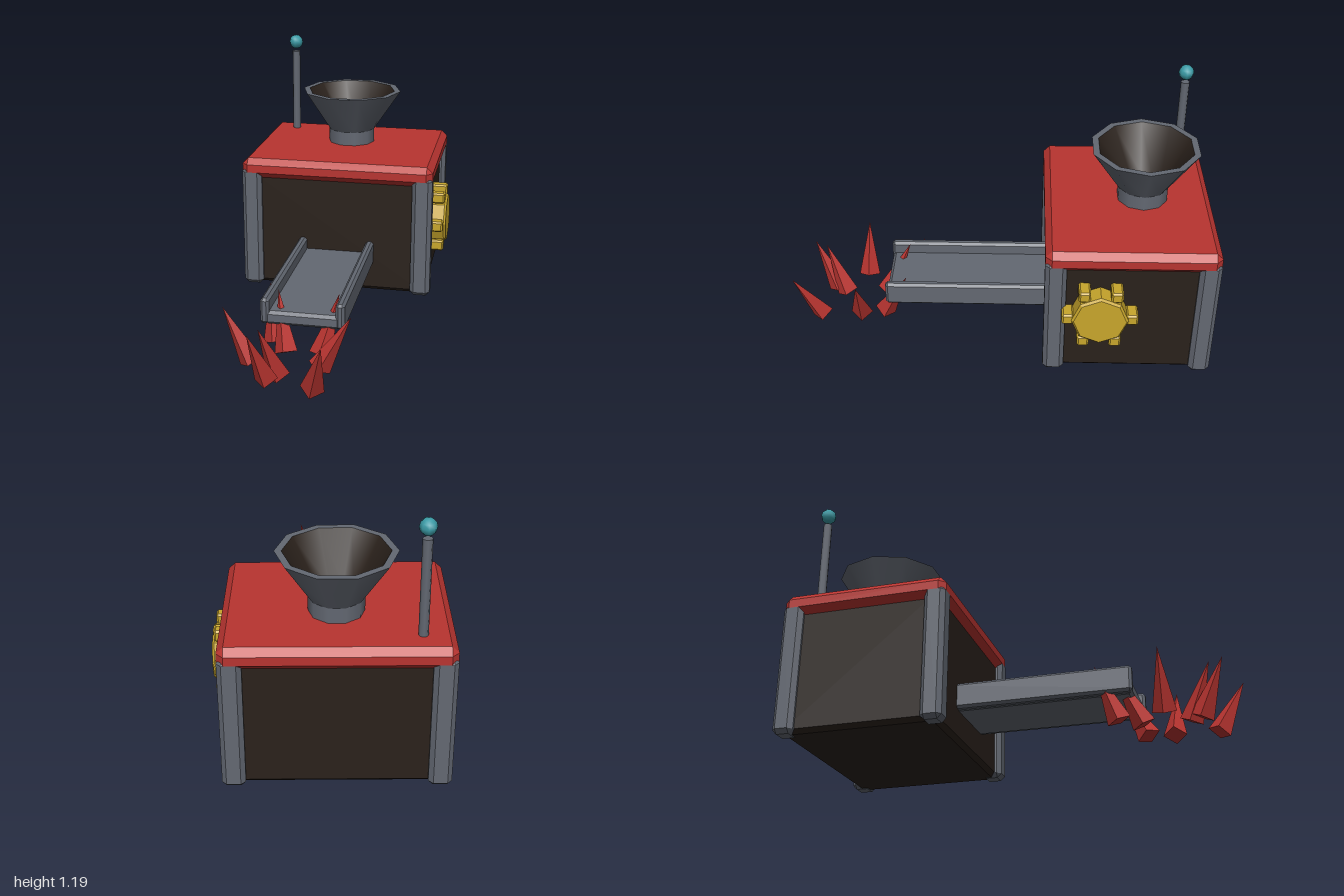
import * as THREE from 'three';
import { ConvexGeometry } from 'three/addons/geometries/ConvexGeometry.js';

const paint = (color, flat = true, side = THREE.FrontSide) =>
  new THREE.MeshStandardMaterial({ color, flatShading: flat, side });

const red = paint(0xb83430);
const steel = paint(0x636872);
const steelSmooth = paint(0x636872, false, THREE.DoubleSide);
const dark = paint(0x2a211b);
const darkSmooth = paint(0x2a211b, false, THREE.DoubleSide);
const yellow = paint(0xc8a62c);
const teal = paint(0x3b9ba6, false);

// Box between two corners, every edge cut by a chamfer c
function chamferBox(name, material, [x0, y0, z0], [x1, y1, z1], c) {
  const half = [(x1 - x0) / 2, (y1 - y0) / 2, (z1 - z0) / 2];
  const points = [];
  for (const sx of [-1, 1]) for (const sy of [-1, 1]) for (const sz of [-1, 1]) {
    for (let axis = 0; axis < 3; axis++) {
      const [x, y, z] = half.map((h, i) => (i === axis ? h : h - c));
      points.push(new THREE.Vector3(sx * x, sy * y, sz * z));
    }
  }
  const mesh = new THREE.Mesh(new ConvexGeometry(points), material);
  mesh.name = name;
  mesh.position.set((x0 + x1) / 2, (y0 + y1) / 2, (z0 + z1) / 2);
  return mesh;
}

function part(name, geometry, material, x, y, z) {
  const mesh = new THREE.Mesh(geometry, material);
  mesh.name = name;
  mesh.position.set(x, y, z);
  return mesh;
}

function createHousing() {
  const group = new THREE.Group();
  group.name = 'housing';
  group.add(chamferBox('body', dark, [-0.485, 0.003, -0.97], [0.42, 0.62, -0.245], 0.02));
  group.add(chamferBox('roof', red, [-0.515, 0.575, -1], [0.45, 0.675, -0.215], 0.03));
  for (const x of [-0.515, 0.35]) for (const z of [-1, -0.313]) {
    group.add(chamferBox('cornerPost', steel, [x, 0, z], [x + 0.1, 0.625, z + 0.098], 0.02));
  }
  return group;
}

// Ten-sided hopper with a thin rim and a dark inside
function createFunnel() {
  const group = new THREE.Group();
  group.name = 'funnel';
  const ring = (name, material, ...profile) => {
    const points = profile.map(([r, y]) => new THREE.Vector2(r, y));
    group.add(part(name, new THREE.LatheGeometry(points, 10, Math.PI / 2), material, 0, 0, 0));
  };
  ring('funnelThroat', steelSmooth, [0.12, 0.65], [0.12, 0.745]);
  ring('funnelCone', steelSmooth, [0.12, 0.745], [0.257, 0.95]);
  ring('funnelRim', steelSmooth, [0.257, 0.95], [0.226, 0.95]);
  ring('funnelInside', darkSmooth, [0.226, 0.95], [0.09, 0.74]);
  ring('funnelFloor', darkSmooth, [0.09, 0.74], [0, 0.74]);
  group.position.set(-0.032, 0, -0.675);
  return group;
}

function createAntenna() {
  const group = new THREE.Group();
  group.name = 'antenna';
  group.add(part('antennaPole', new THREE.CylinderGeometry(0.021, 0.021, 0.455, 8), steelSmooth, 0, 0.8775, 0));
  group.add(part('antennaBall', new THREE.SphereGeometry(0.037, 8, 6), teal, 0, 1.155, 0));
  group.position.set(-0.378, 0, -0.88);
  return group;
}

// Eight-sided disc with six square teeth on the left wall
function createGear() {
  const group = new THREE.Group();
  group.name = 'gear';
  const hub = part('gearDisc', new THREE.CylinderGeometry(0.13, 0.13, 0.1, 8), yellow, 0.45, 0, 0);
  const face = part('gearFace', new THREE.CylinderGeometry(0.12, 0.13, 0.01, 8), yellow, 0.505, 0, 0);
  hub.rotation.z = face.rotation.z = -Math.PI / 2;
  group.add(hub, face);
  for (let i = 0; i < 6; i++) {
    const a = (i * Math.PI) / 3;
    const y = Math.sin(a) * 0.146, z = Math.cos(a) * 0.146;
    group.add(chamferBox('gearTooth', yellow, [0.41, y - 0.027, z - 0.027], [0.5, y + 0.027, z + 0.027], 0.008));
  }
  group.position.set(0, 0.35, -0.467);
  return group;
}

function createChute() {
  const group = new THREE.Group();
  group.name = 'chute';
  group.add(chamferBox('chuteFloor', steel, [-0.205, 0.143, -0.27], [0.14, 0.207, 0.545], 0.014));
  for (const x of [-0.225, 0.118]) {
    group.add(chamferBox('chuteRail', steel, [x, 0.147, -0.27], [x + 0.041, 0.267, 0.55], 0.012));
  }
  return group;
}

// Ring of four-sided spikes leaning outwards: base x, z and tip x, z
function createSpikes() {
  const group = new THREE.Group();
  group.name = 'spikes';
  const layout = [
    [-0.232, 0.685, -0.354, 0.685], [0.075, 0.685, 0.213, 0.685],
    [0.085, 0.88, 0.147, 1.0], [-0.085, 0.78, -0.145, 0.877],
    [-0.125, 0.83, -0.178, 0.938], [-0.1, 0.575, -0.16, 0.455],
    [-0.175, 0.48, -0.215, 0.385], [0.055, 0.57, 0.118, 0.45],
  ];
  const up = new THREE.Vector3(0, 1, 0);
  for (const [bx, bz, tx, tz] of layout) {
    const base = new THREE.Vector3(bx, 0.03, bz);
    const axis = new THREE.Vector3(tx, 0.278, tz).sub(base);
    const spike = part('spike', new THREE.ConeGeometry(0.053, axis.length(), 4), red, 0, 0, 0);
    spike.position.copy(base).addScaledVector(axis, 0.5);
    spike.quaternion.setFromUnitVectors(up, axis.normalize());
    group.add(spike);
  }
  return group;
}

export function createModel() {
  const model = new THREE.Group();
  model.name = 'hopperMachine';
  model.add(createHousing(), createFunnel(), createAntenna(), createGear(), createChute(), createSpikes());
  return model;
}
